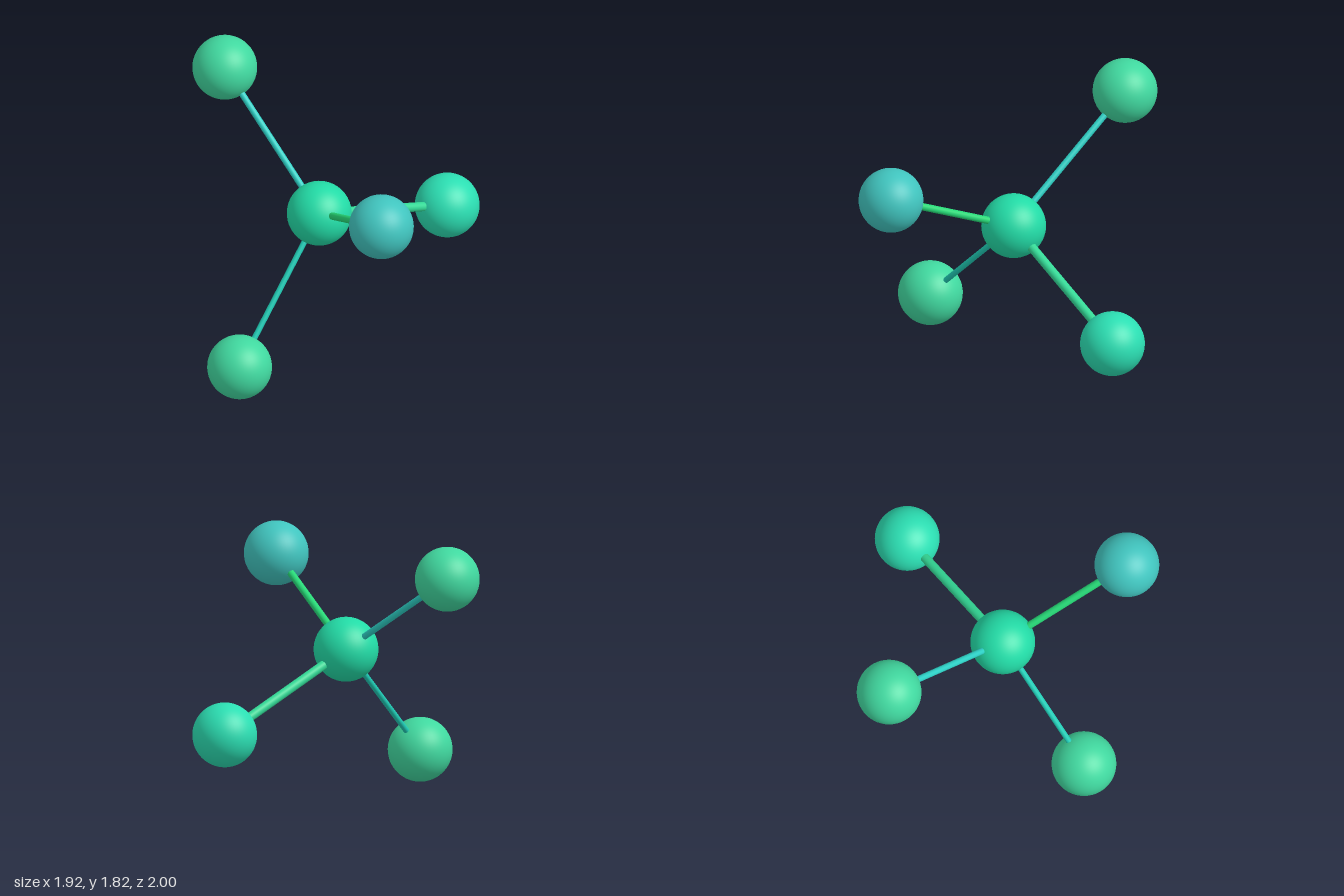
import * as THREE from 'three';

const RADIUS = 0.2;
const CENTRE = new THREE.Vector3(0.07, 0.995, 0.113);

// Outer balls, each with the rod that joins it to the centre
const ARMS = [
  { name: 'upperRight', at: [-0.76, 1.62, -0.22], ball: 0x40d89f, rod: 0x2ccfc4, thick: 0.02 },
  { name: 'upperLeft', at: [0.757, 1.41, 0.602], ball: 0x40c4be, rod: 0x25d876, thick: 0.023 },
  { name: 'lowerBack', at: [0.483, 0.632, -0.8], ball: 0x2bdeb2, rod: 0x32d895, thick: 0.029 },
  { name: 'lowerFront', at: [-0.125, 0.203, 0.8], ball: 0x40d89f, rod: 0x1fcbb5, thick: 0.018 },
];

function addBall(group, name, position, color) {
  const ball = new THREE.Mesh(
    new THREE.SphereGeometry(RADIUS, 48, 32),
    new THREE.MeshStandardMaterial({ color }),
  );
  ball.name = name;
  ball.position.copy(position);
  group.add(ball);
}

// Cylinder running from one point to another
function addRod(group, name, from, to, radius, color) {
  const along = to.clone().sub(from);
  const rod = new THREE.Mesh(
    new THREE.CylinderGeometry(radius, radius, along.length(), 24),
    new THREE.MeshStandardMaterial({ color }),
  );
  rod.name = name;
  rod.position.copy(from).addScaledVector(along, 0.5);
  rod.quaternion.setFromUnitVectors(new THREE.Vector3(0, 1, 0), along.normalize());
  group.add(rod);
}

export function createModel() {
  const model = new THREE.Group();
  model.name = 'ballAndRodModel';
  addBall(model, 'centreBall', CENTRE, 0x22dba6);
  for (const arm of ARMS) {
    const end = new THREE.Vector3(...arm.at);
    addBall(model, `${arm.name}Ball`, end, arm.ball);
    addRod(model, `${arm.name}Rod`, CENTRE, end, arm.thick, arm.rod);
  }
  return model;
}
